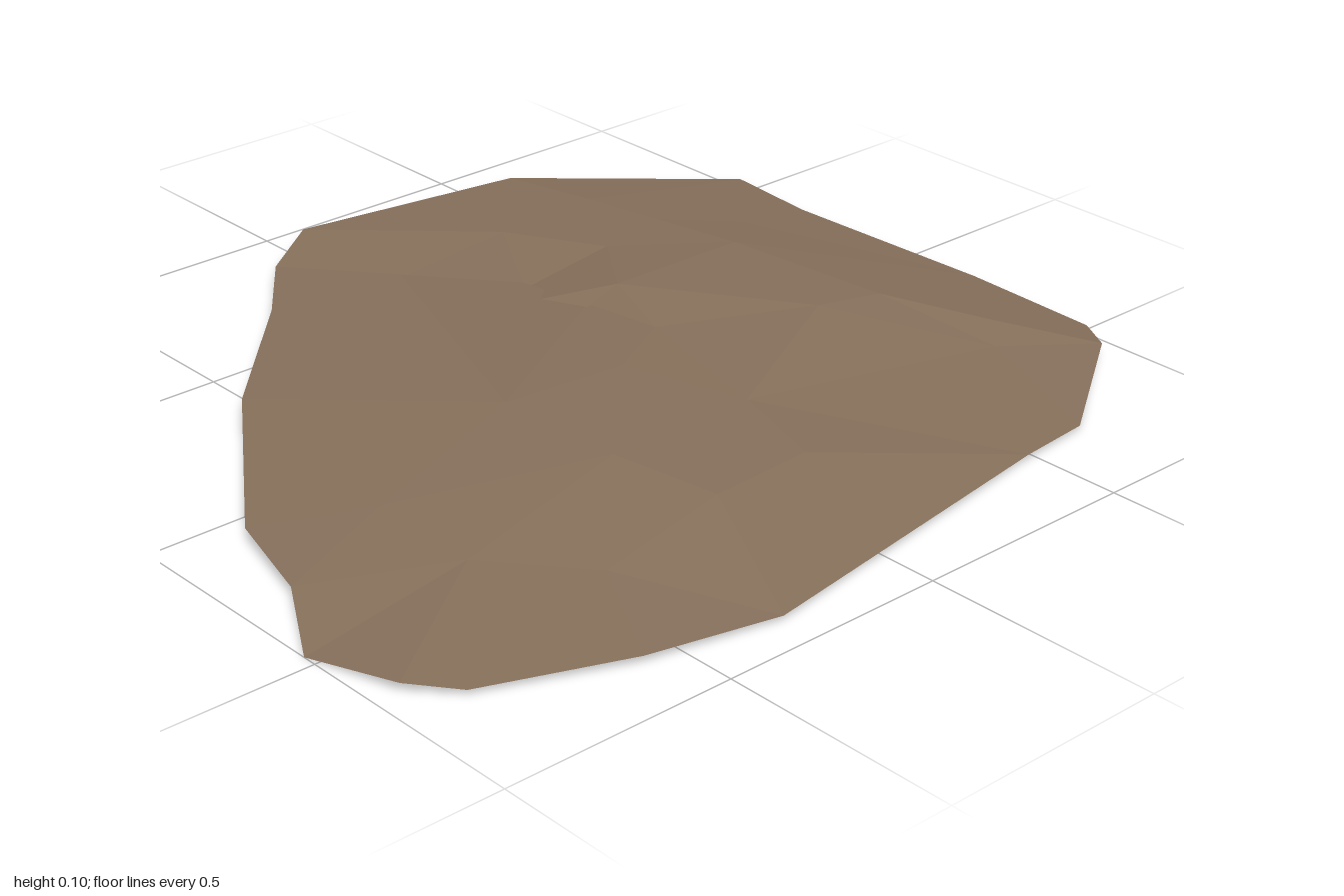
import * as THREE from 'three';

// Rim of the slab, in order: [x, y, z]
const rim = [
  [-0.52, 0.025, -1], [-0.3, 0.025, -0.98], [0.2, 0.025, -1], [0.52, 0.025, -0.99], [0.61, 0.035, -0.93],
  [0.79, 0.01, -0.65], [0.807, 0.012, -0.48], [0.925, 0.012, 0.3], [0.87, 0.018, 0.58], [0.75, 0.013, 0.87],
  [0.67, 0.022, 0.95], [0.47, 0, 1], [0.3, 0.026, 0.9], [0.08, 0.03, 0.84], [-0.33, 0.042, 0.55],
  [-0.64, 0.034, 0.25], [-0.83, 0.025, 0.1], [-0.93, 0.037, -0.05], [-0.87, 0.028, -0.6],
];

// Humps and hollows inside the rim: [x, y, z]
const inner = [
  [-0.36, 0.072, -0.44], [-0.16, 0.097, -0.29], [0.2, 0.075, -0.7], [0.4, 0.054, -0.81], [0.48, 0.038, -0.75],
  [0.18, 0.09, -0.54], [0.37, 0.074, -0.15], [0.59, 0.066, -0.09], [0.1, 0.076, -0.07], [0.37, 0.075, 0.2],
  [0.6, 0.066, 0.15], [0.07, 0.074, 0.21], [0.2, 0.047, 0.62], [0.45, 0.041, 0.62], [0.63, 0.032, 0.45],
  [-0.4, 0.068, -0.63], [-0.62, 0.05, -0.62], [-0.6, 0.053, -0.35], [-0.28, 0.058, -0.78], [-0.17, 0.087, -0.64],
];

// Overhanging lip of the crack
const lip = [[-0.6, 0.037, -0.06], [-0.38, 0.045, -0.22], [-0.18, 0.064, -0.225], [0.02, 0.08, -0.23]];

// Bottom of the crack, tucked under the lip: [x, y, z, x and z while joining facets]
const crack = [
  [-0.6, 0.024, 0, -0.61, -0.083], [-0.37, 0.02, -0.1, -0.375, -0.247], [-0.17, 0.045, -0.165, -0.181, -0.246],
];

// Flat layout used for joining facets, with the final position kept alongside
const points = [...rim, ...inner, ...lip, ...crack].map(([x, y, z, px = x, pz = z]) => ({ x: px, z: pz, at: [x, y, z] }));

// Positive when a, b, c wind to face up
const turn = (a, b, c) => (b.z - a.z) * (c.x - a.x) - (b.x - a.x) * (c.z - a.z);

function insideRim(x, z) {
  let inside = false;
  rim.forEach((p, i) => {
    const q = rim[(i + 1) % rim.length];
    if ((p[2] > z) !== (q[2] > z) && x < p[0] + ((z - p[2]) * (q[0] - p[0])) / (q[2] - p[2])) inside = !inside;
  });
  return inside;
}

// True when no other point lies in the circle through a, b, c
function emptyCircle(a, b, c) {
  const bx = b.x - a.x, bz = b.z - a.z, cx = c.x - a.x, cz = c.z - a.z;
  const d = 2 * (bx * cz - bz * cx), b2 = bx * bx + bz * bz, c2 = cx * cx + cz * cz;
  const ux = (cz * b2 - bz * c2) / d, uz = (bx * c2 - cx * b2) / d;
  const r = Math.hypot(ux, uz) - 1e-9;
  return points.every((p) => p === a || p === b || p === c || Math.hypot(p.x - a.x - ux, p.z - a.z - uz) >= r);
}

// Join the points into facets that cover the slab
function slabGeometry() {
  const positions = [];
  const n = points.length;
  for (let i = 0; i < n; i++) for (let j = i + 1; j < n; j++) for (let k = j + 1; k < n; k++) {
    const [a, b, c] = [points[i], points[j], points[k]];
    const t = turn(a, b, c);
    if (Math.abs(t) < 1e-6 || !emptyCircle(a, b, c)) continue;
    if (!insideRim((a.x + b.x + c.x) / 3, (a.z + b.z + c.z) / 3)) continue;
    for (const p of t > 0 ? [a, b, c] : [a, c, b]) positions.push(...p.at);
  }
  const geometry = new THREE.BufferGeometry();
  geometry.setAttribute('position', new THREE.Float32BufferAttribute(positions, 3));
  geometry.computeVertexNormals();
  return geometry;
}

export function createModel() {
  const group = new THREE.Group();
  group.name = 'flatRock';
  const stone = new THREE.MeshStandardMaterial({ color: 0x86705b, flatShading: true, side: THREE.DoubleSide });
  stone.name = 'brown stone';

  // Thin faceted sheet of rock, open below
  const slab = new THREE.Mesh(slabGeometry(), stone);
  slab.name = 'rockSlab';
  group.add(slab);
  return group;
}
